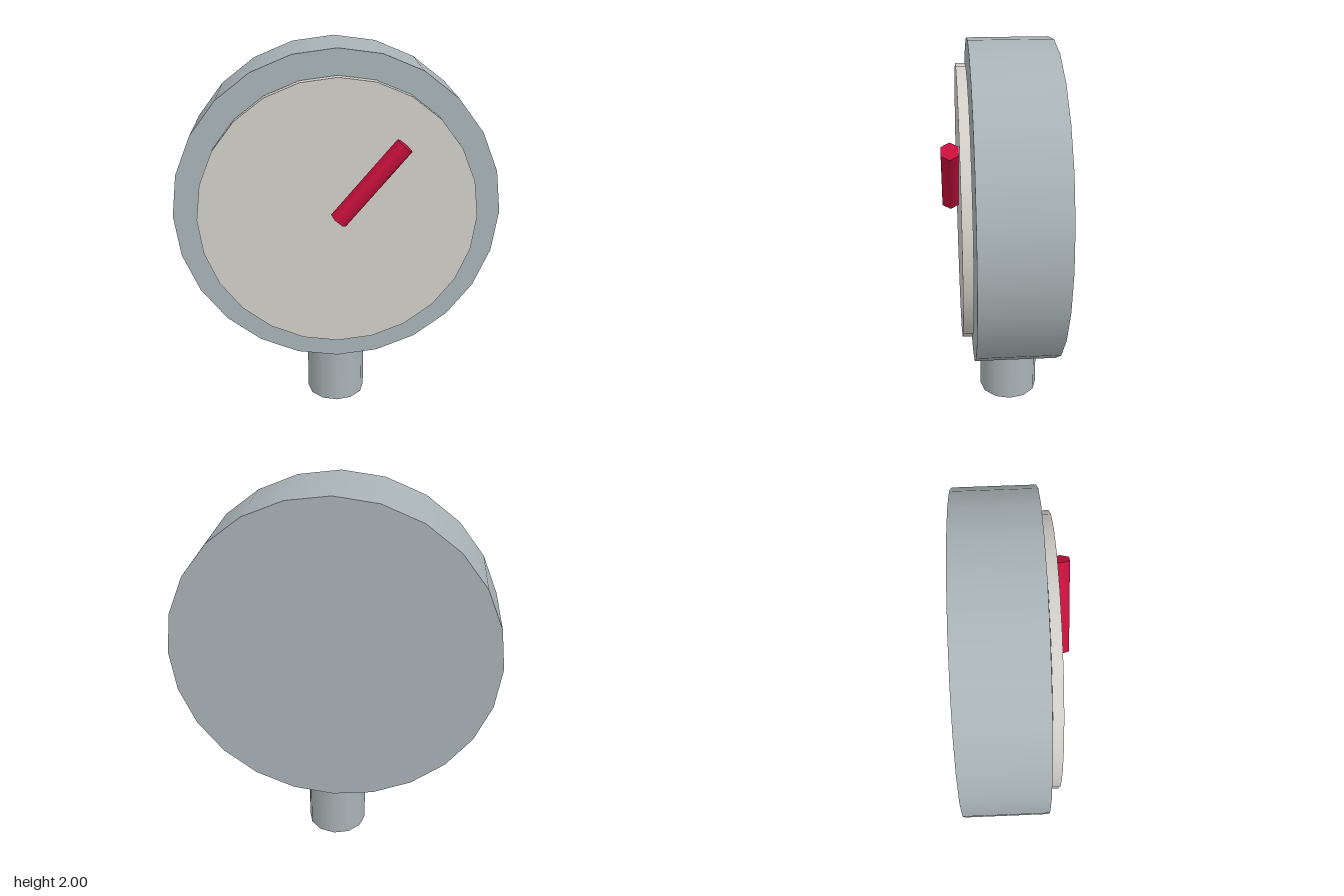
import * as THREE from 'three';

const METAL = 0xa9b3b6, FACE = 0xd2cfc9, RED = 0xc8103c;

function cylinder(name, radius, length, sides, color) {
  const mesh = new THREE.Mesh(
    new THREE.CylinderGeometry(radius, radius, length, sides),
    new THREE.MeshStandardMaterial({ color })
  );
  mesh.name = name;
  return mesh;
}

export function createModel() {
  const group = new THREE.Group();
  group.name = 'pressureGauge';
  const centreY = 1.164;

  // Round housing, axis facing forward
  const housing = cylinder('housing', 0.836, 0.42, 24, METAL);
  housing.rotation.x = Math.PI / 2;
  housing.position.set(0, centreY, -0.071);

  // Dial plate floating just in front of the housing
  const dial = cylinder('dial', 0.709, 0.05, 24, FACE);
  dial.rotation.x = Math.PI / 2;
  dial.position.set(0, centreY, 0.173);

  // Threaded-in stem below
  const stem = cylinder('stem', 0.161, 0.42, 12, METAL);
  stem.position.set(0, 0.21, -0.069);

  // Hexagonal needle, flat side on the dial, leaning 40 degrees to the right
  const needle = cylinder('needle', 0.049, 0.5, 6, RED);
  needle.geometry.rotateY(Math.PI / 6);
  needle.rotation.z = -THREE.MathUtils.degToRad(40);
  needle.position.set(0.161, 1.358, 0.24);

  group.add(housing, dial, stem, needle);
  return group;
}
